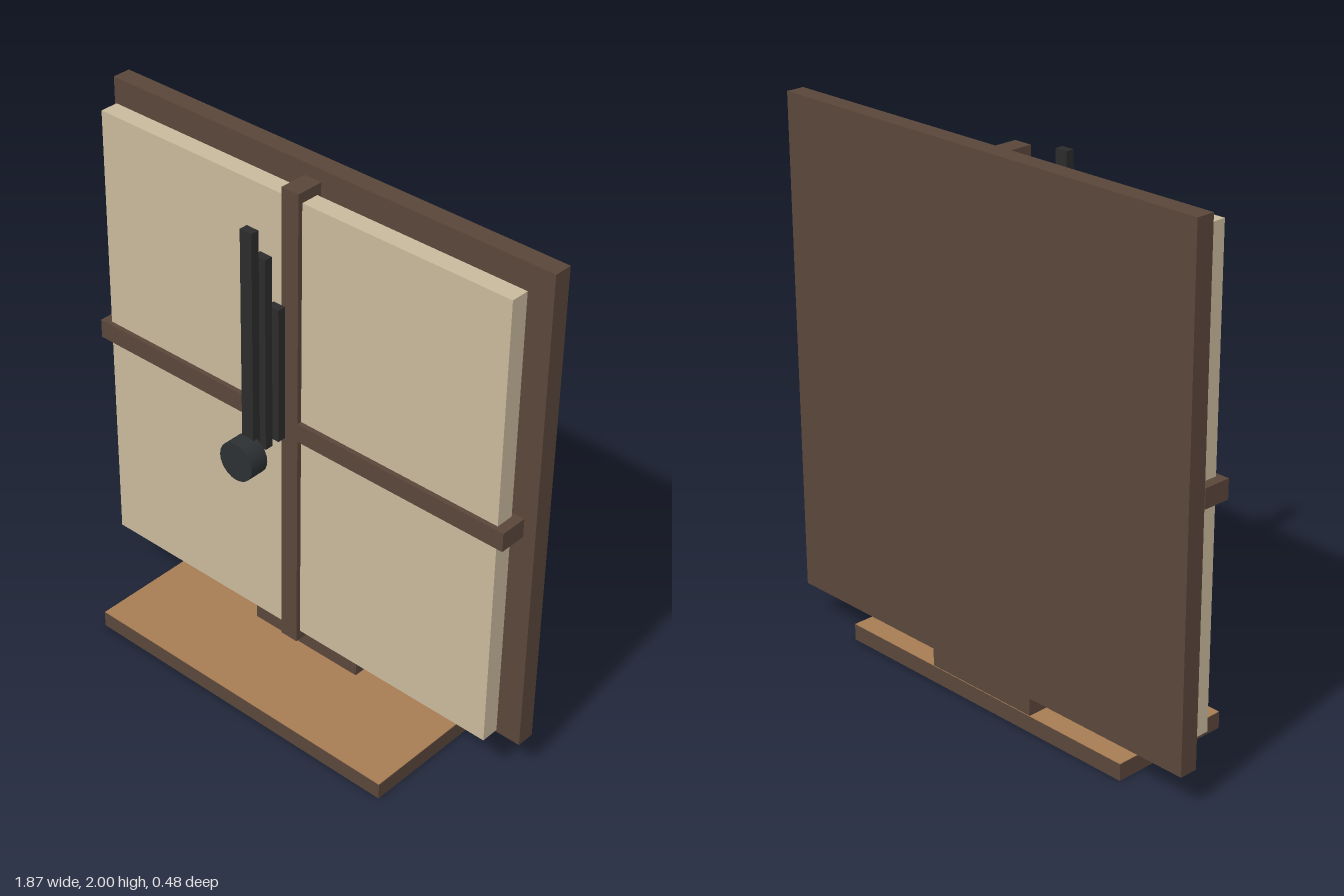
import * as THREE from 'three';

const material = (name, color) => {
  const m = new THREE.MeshStandardMaterial({ color });
  m.name = name;
  return m;
};

export function createModel() {
  const model = new THREE.Group();
  model.name = 'panelClock';

  const darkWood = material('darkWood', 0x5a463a);
  const lightWood = material('lightWood', 0xa67c52);
  const paper = material('paper', 0xc8b99c);
  const black = material('black', 0x2b2b2b);
  const slate = material('slate', 0x2c3032);

  // Box given by its limits on each axis
  function box(name, mat, [x0, x1], [y0, y1], [z0, z1]) {
    const mesh = new THREE.Mesh(new THREE.BoxGeometry(x1 - x0, y1 - y0, z1 - z0), mat);
    mesh.position.set((x0 + x1) / 2, (y0 + y1) / 2, (z0 + z1) / 2);
    mesh.name = name;
    model.add(mesh);
    return mesh;
  }

  // Foot with a lighter top, and the block that carries the board
  box('base', darkWood, [-0.668, 0.668], [0, 0.062], [-0.242, 0.242]);
  box('baseTop', lightWood, [-0.667, 0.667], [0.062, 0.064], [-0.241, 0.241]);
  box('neck', darkWood, [-0.242, 0.242], [0.06, 0.155], [-0.24, -0.122]);

  // Back board
  box('backBoard', darkWood, [-0.935, 0.935], [0.132, 2], [-0.242, -0.172]);

  // Four pale panels around the cross bars
  for (const [x0, x1] of [[-0.873, -0.036], [0.036, 0.873]]) {
    for (const [y0, y1] of [[0.196, 1.032], [1.104, 1.94]]) {
      box('panel', paper, [x0, x1], [y0, y1], [-0.122, -0.052]);
    }
  }
  box('verticalBar', darkWood, [-0.036, 0.036], [0.158, 1.978], [-0.14, -0.034]);
  for (const [x0, x1] of [[-0.91, -0.036], [0.036, 0.91]]) {
    box('crossBar', darkWood, [x0, x1], [1.032, 1.104], [-0.14, -0.034]);
  }

  // Three stacked hands, longest in front
  [[0.015, 1.583], [0.076, 1.797], [0.136, 1.918]].forEach(([z, top]) =>
    box('hand', black, [-0.025, 0.025], [1.068, top], [z, z + 0.032]));

  // Centre knob
  const knob = new THREE.Mesh(new THREE.CylinderGeometry(0.072, 0.072, 0.074, 24), slate);
  knob.rotation.x = Math.PI / 2;
  knob.position.set(0, 1.068, 0.188);
  knob.name = 'knob';
  model.add(knob);

  return model;
}
